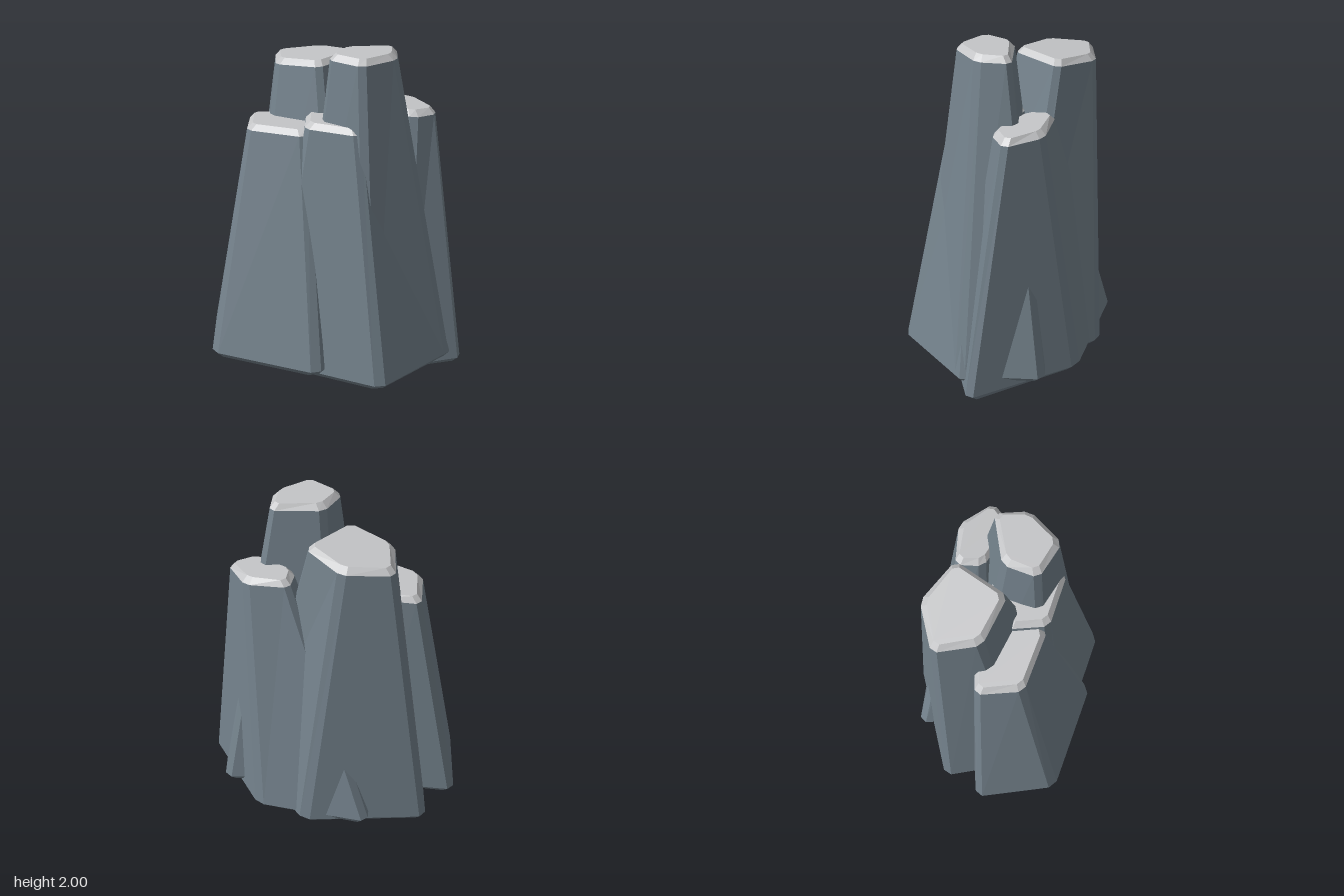
import * as THREE from 'three';

const stone = new THREE.MeshStandardMaterial({ color: 0x74828c, flatShading: true });
stone.name = 'slate stone';
const pale = new THREE.MeshStandardMaterial({ color: 0xc4c5c7, flatShading: true });
pale.name = 'pale cap';

// Each column: corner outlines [x, z] running left, front, right, back,
// plus the height of each end and how much that end slopes along x.
const columns = [
  { name: 'tallColumn', base: 0.09, baseTilt: 0, top: 2.0, topTilt: 0,
    lower: [[-0.18, -0.15], [-0.05, 0.34], [0.52, 0.31], [0.72, -0.25], [0.39, -0.64]],
    upper: [[0.04, -0.06], [0.08, 0.145], [0.32, 0.145], [0.39, -0.1], [0.275, -0.26]] },
  { name: 'leftColumn', base: 0.055, baseTilt: 0.05, top: 1.91, topTilt: 0.09,
    lower: [[-0.75, -0.02], [-0.38, 0.4], [0.33, 0.33], [0.42, -0.41], [-0.21, -0.56]],
    upper: [[-0.54, -0.14], [-0.365, 0.07], [-0.06, 0.04], [-0.04, -0.31], [-0.33, -0.35]] },
  { name: 'frontLeftColumn', base: 0.1, baseTilt: 0.04, top: 1.555, topTilt: 0.04,
    lower: [[-0.77, 0.24], [-0.44, 0.645], [0.26, 0.49], [0.3, -0.05], [-0.27, -0.12]],
    upper: [[-0.53, 0.12], [-0.37, 0.34], [0, 0.265], [0.05, 0], [-0.25, -0.07]] },
  { name: 'frontRightColumn', base: 0.075, baseTilt: 0, top: 1.61, topTilt: 0,
    lower: [[-0.4, 0.07], [-0.1, 0.51], [0.62, 0.34], [0.725, -0.3], [0, -0.43]],
    upper: [[-0.13, 0.08], [0.01, 0.27], [0.33, 0.19], [0.36, -0.07], [0.05, -0.15]] },
  { name: 'backColumn', base: 0.053, baseTilt: -0.07, top: 1.65, topTilt: -0.07,
    lower: [[-0.55, -0.35], [-0.28, 0.02], [0.53, -0.02], [0.76, -0.365], [0.1, -0.645]],
    upper: [[0.03, -0.37], [0.11, -0.23], [0.42, -0.24], [0.485, -0.4], [0.26, -0.495]] },
];

// Cut every corner of an outline into a narrow chamfer
function chamfer(points, cut) {
  const v = points.map(([x, z]) => new THREE.Vector2(x, z));
  return v.flatMap((p, i) => {
    const toward = (q) => q.clone().sub(p).setLength(cut).add(p);
    return [toward(v[(i + v.length - 1) % v.length]), toward(v[(i + 1) % v.length])];
  });
}

// Place an outline in space, drawn in toward its centre by inset
function ring(outline, y, tilt, inset) {
  const c = outline.reduce((s, p) => s.add(p), new THREE.Vector2()).divideScalar(outline.length);
  return outline.map((p) => {
    const d = p.clone().sub(c);
    const q = d.setLength(d.length() - inset).add(c);
    return new THREE.Vector3(q.x, y + tilt * q.x, q.y);
  });
}

// Faceted skin through a stack of rings, closed at one end
function skin(rings, closeTop) {
  const tris = [];
  const n = rings[0].length;
  for (let r = 0; r < rings.length - 1; r++) {
    const a = rings[r], b = rings[r + 1];
    for (let i = 0; i < n; i++) {
      const j = (i + 1) % n;
      tris.push(a[i], a[j], b[j], a[i], b[j], b[i]);
    }
  }
  const end = closeTop ? rings[rings.length - 1] : rings[0];
  for (let i = 1; i < n - 1; i++) {
    tris.push(end[0], ...(closeTop ? [end[i], end[i + 1]] : [end[i + 1], end[i]]));
  }
  const g = new THREE.BufferGeometry().setFromPoints(tris);
  g.computeVertexNormals();
  return g;
}

function makeColumn(c) {
  const bevel = 0.035;
  const lower = chamfer(c.lower, 0.04);
  const upper = chamfer(c.upper, 0.03);
  const foot = ring(lower, c.base, c.baseTilt, bevel);
  const rim = ring(lower, c.base + bevel, c.baseTilt, 0);
  const shoulder = ring(upper, c.top - bevel, c.topTilt, 0);
  const cap = ring(upper, c.top, c.topTilt, bevel);

  const group = new THREE.Group();
  group.name = c.name;
  // Tapered shaft with a bevelled foot
  const shaft = new THREE.Mesh(skin([foot, rim, shoulder], false), stone);
  shaft.name = 'shaft';
  // Bevelled pale top
  const top = new THREE.Mesh(skin([shoulder, cap], true), pale);
  top.name = 'cap';
  group.add(shaft, top);
  return group;
}

export function createModel() {
  const model = new THREE.Group();
  model.name = 'rockColumns';
  columns.forEach((c) => model.add(makeColumn(c)));
  return model;
}
